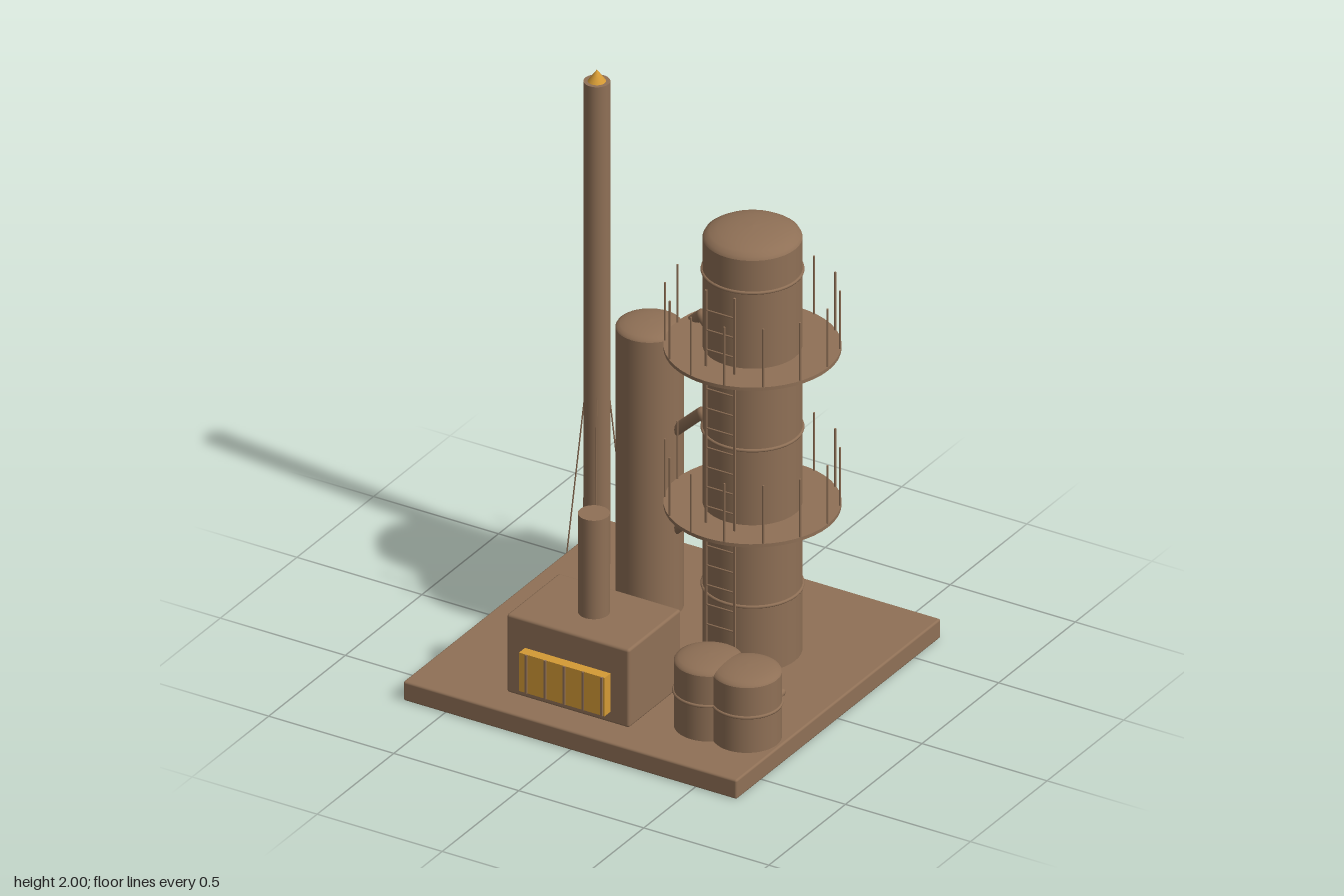
import * as THREE from 'three';
import { RoundedBoxGeometry } from 'three/addons/geometries/RoundedBoxGeometry.js';

const brown = new THREE.MeshStandardMaterial({ color: 0x8f7056 });
brown.name = 'weathered brown';
const amber = new THREE.MeshStandardMaterial({ color: 0xd49a35 });
amber.name = 'amber glow';

const DECK = 0.075;
const V = (x, y, z) => new THREE.Vector3(x, y, z);

export function createModel() {
  const model = new THREE.Group();
  model.name = 'refinery';

  const group = (name, x = 0, z = 0) => {
    const g = new THREE.Group();
    g.name = name;
    g.position.set(x, 0, z);
    model.add(g);
    return g;
  };
  const add = (parent, name, geometry, x = 0, y = 0, z = 0, material = brown) => {
    const mesh = new THREE.Mesh(geometry, material);
    mesh.name = name;
    mesh.position.set(x, y, z);
    parent.add(mesh);
    return mesh;
  };
  // Straight round bar between two points
  const bar = (parent, name, a, b, r, sides = 6) => {
    const mesh = add(parent, name, new THREE.CylinderGeometry(r, r, a.distanceTo(b), sides));
    mesh.position.copy(a).add(b).multiplyScalar(0.5);
    mesh.quaternion.setFromUnitVectors(V(0, 1, 0), b.clone().sub(a).normalize());
    return mesh;
  };
  // Pipe of straight runs with rounded elbows
  const pipe = (parent, name, points, r) => {
    for (let i = 1; i < points.length; i++) {
      bar(parent, name, points[i - 1], points[i], r, 16);
      if (i < points.length - 1)
        add(parent, name + 'Elbow', new THREE.SphereGeometry(r, 16, 10), ...points[i].toArray());
    }
  };
  // Upright vessel with a shallow dome
  const vessel = (parent, name, r, top, rise, x = 0) => {
    const h = top - DECK;
    add(parent, name, new THREE.CylinderGeometry(r, r, h, 40, 1, true), x, DECK + h / 2, 0);
    const dome = [];
    for (let i = 0; i <= 6; i++) {
      const a = (i / 6) * Math.PI / 2;
      dome.push(new THREE.Vector2(r * Math.cos(a), rise * Math.sin(a)));
    }
    dome[6].x = 0;
    add(parent, name + 'Dome', new THREE.LatheGeometry(dome, 40), x, top, 0);
  };
  const hoop = (parent, r, y, x = 0) => {
    add(parent, 'hoop', new THREE.TorusGeometry(r, 0.006, 8, 40), x, y, 0).rotation.x = Math.PI / 2;
  };

  // Ground slab
  add(model, 'baseSlab', new RoundedBoxGeometry(1.334, DECK, 1.334, 2, 0.008), 0, DECK / 2, 0);

  // Main column with hoops, platforms and railing posts
  const column = group('mainColumn', 0.227, -0.155);
  vessel(column, 'columnShell', 0.171, 1.68, 0.046);
  for (const y of [0.33, 0.94, 1.555]) hoop(column, 0.172, y);
  for (const y of [0.642, 1.253]) {
    add(column, 'platform', new THREE.CylinderGeometry(0.304, 0.304, 0.013, 48), 0, y, 0);
    for (let i = 0; i < 14; i++) {
      const a = (i / 14) * Math.PI * 2;
      add(column, 'railingPost', new THREE.CylinderGeometry(0.004, 0.004, 0.232, 6),
        0.3 * Math.cos(a), y + 0.116, 0.3 * Math.sin(a));
    }
  }

  // Ladder on the front of the column
  const ladder = group('ladder', 0.227, 0.055);
  for (const side of [-1, 1])
    add(ladder, 'ladderRail', new THREE.BoxGeometry(0.008, 1.48, 0.008), side * 0.057, DECK + 0.74, 0);
  for (let i = 0; i < 19; i++)
    bar(ladder, 'ladderRung', V(-0.057, 0.1 + i * 0.0765, 0), V(0.057, 0.1 + i * 0.0765, 0), 0.003);

  // Secondary vessel and its three crossover pipes
  const side = group('sideVessel', -0.232, -0.233);
  vessel(side, 'sideShell', 0.117, 1.16, 0.027);
  const crossovers = group('crossoverPipes');
  for (const y of [0.525, 0.908, 1.29])
    pipe(crossovers, 'crossoverPipe',
      [V(-0.13, y - 0.125, -0.232), V(0, y, -0.197), V(0.075, y - 0.055, -0.168)], 0.021);

  // Flare stack with flame and guy wires
  const flare = group('flareStack', -0.538, -0.388);
  add(flare, 'stackPole', new THREE.CylinderGeometry(0.046, 0.047, 1.88, 28), 0, DECK + 0.94, 0);
  add(flare, 'flame', new THREE.ConeGeometry(0.032, 0.045, 20), 0, 1.977, 0, amber);
  for (let i = 0; i < 3; i++) {
    const a = Math.PI + i * Math.PI * 2 / 3, c = Math.cos(a), s = Math.sin(a);
    bar(flare, 'guyWire', V(0.045 * c, 0.745, 0.045 * s), V(0.12 * c, 0.08, 0.12 * s), 0.0025);
  }

  // Furnace house with chimney and glowing grate
  const furnace = group('furnace', -0.079, 0.381);
  add(furnace, 'furnaceBody', new RoundedBoxGeometry(0.49, 0.305, 0.341, 2, 0.01), 0, 0.23, 0);
  add(furnace, 'chimney', new THREE.CylinderGeometry(0.055, 0.055, 0.39, 28), 0, 0.572, 0);
  add(furnace, 'glowingGrate', new THREE.BoxGeometry(0.342, 0.15, 0.045), 0, 0.197, 0.187, amber);
  for (let i = 0; i < 5; i++)
    add(furnace, 'grateBar', new THREE.BoxGeometry(0.008, 0.15, 0.008), -0.141 + i * 0.0755, 0.197, 0.211);

  // Twin storage tanks and feed pipe to the column
  const tanks = group('storageTanks', 0, 0.381);
  for (const x of [0.381, 0.533]) {
    vessel(tanks, 'tankShell', 0.12, 0.328, 0.027, x);
    hoop(tanks, 0.12, 0.212, x);
  }
  const feed = group('feedPipe');
  pipe(feed, 'feedPipe',
    [V(0.23, 0.138, 0), V(0.23, 0.138, 0.153), V(0.533, 0.138, 0.153), V(0.533, 0.138, 0.28)], 0.014);

  return model;
}
